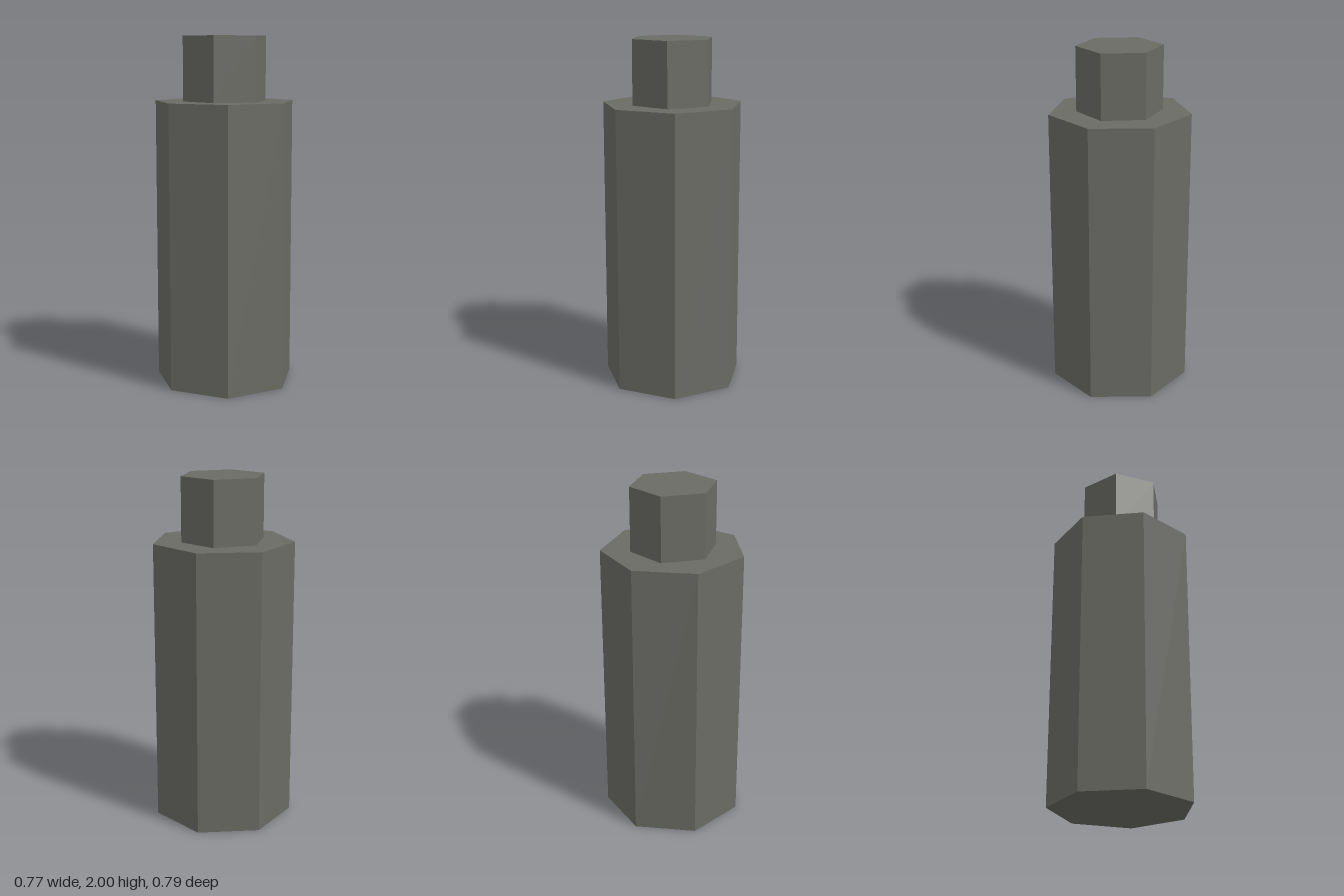
import * as THREE from 'three';

export function createModel() {
  const model = new THREE.Group();
  model.name = 'bottle';
  const material = new THREE.MeshStandardMaterial({ color: 0x6b6b65, flatShading: true });

  // Upright prism with one corner pointing to +x
  function prism(name, radius, sides, bottom, top) {
    const geometry = new THREE.CylinderGeometry(radius, radius, top - bottom, sides, 1, false, Math.PI / 2);
    const mesh = new THREE.Mesh(geometry, material);
    mesh.name = name;
    mesh.position.set(-0.02, (bottom + top) / 2, 0);
    model.add(mesh);
  }

  prism('body', 0.407, 7, 0, 1.633); // seven-sided body
  prism('cap', 0.244, 6, 1.633, 2); // six-sided cap
  return model;
}
